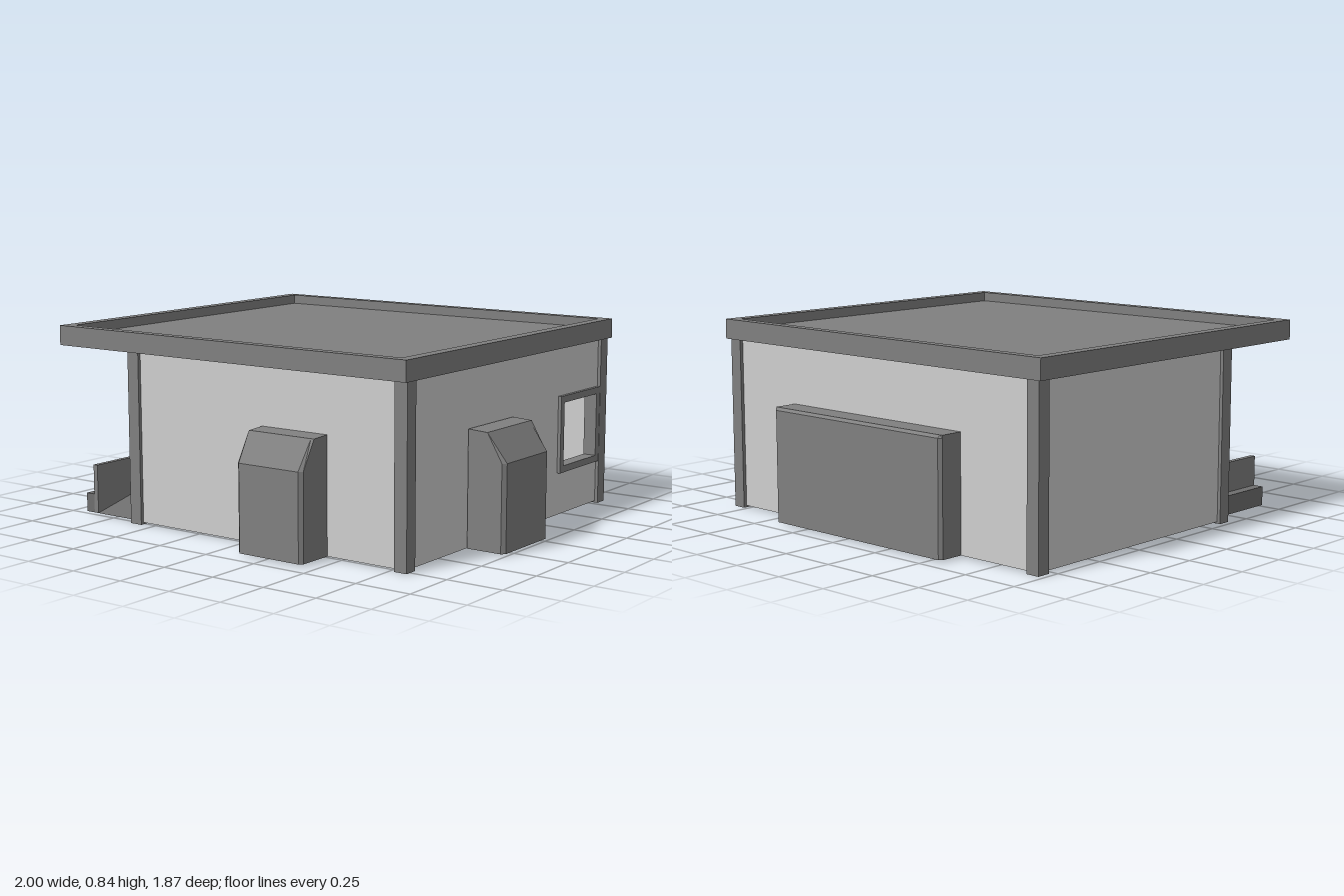
import * as THREE from 'three';

const trim = new THREE.MeshStandardMaterial({ color: 0x808080, side: THREE.DoubleSide });
trim.name = 'trim grey';
const plaster = new THREE.MeshStandardMaterial({ color: 0xcfcfcf });
plaster.name = 'light plaster';
const paving = new THREE.MeshStandardMaterial({ color: 0x6e6e6e, side: THREE.DoubleSide });
paving.name = 'ramp grey';

function add(group, name, geometry, material) {
  const mesh = new THREE.Mesh(geometry, material);
  mesh.name = name;
  group.add(mesh);
  return mesh;
}

// Box given by its two extreme corners
function block(group, name, [x0, y0, z0], [x1, y1, z1], material) {
  const mesh = add(group, name, new THREE.BoxGeometry(x1 - x0, y1 - y0, z1 - z0), material);
  mesh.position.set((x0 + x1) / 2, (y0 + y1) / 2, (z0 + z1) / 2);
  return mesh;
}

const rectPoints = (x0, y0, x1, y1) =>
  [[x0, y0], [x1, y0], [x1, y1], [x0, y1]].map(p => new THREE.Vector2(...p));

// Rectangular panel with an optional rectangular hole, extruded along +z
function panel(outer, hole, depth) {
  const shape = new THREE.Shape(rectPoints(...outer));
  if (hole) shape.holes.push(new THREE.Path(rectPoints(...hole)));
  return new THREE.ExtrudeGeometry(shape, { depth, bevelEnabled: false });
}

// Open-bottomed bay with chamfered outer corners: profile is [depth, height] from wall to ground
function bayGeometry(width, profile, chamfer) {
  const deepest = Math.max(...profile.map(p => p[0]));
  const h = width / 2;
  const sections = [-h, -h + chamfer, h - chamfer, h].map((w, i) =>
    profile.map(([d, y]) => [w, y, i % 3 === 0 ? Math.min(d, deepest - chamfer) : d]));
  const pos = [];
  const tri = (a, b, c) => pos.push(...a, ...b, ...c);
  for (let i = 0; i < 3; i++) {
    for (let j = 0; j < profile.length - 1; j++) {
      const a = sections[i][j], b = sections[i][j + 1];
      const c = sections[i + 1][j + 1], d = sections[i + 1][j];
      tri(a, b, c);
      tri(a, c, d);
    }
  }
  const base = profile[profile.length - 1][1];
  for (let j = 0; j < profile.length - 1; j++) {
    tri([h, base, 0], sections[3][j], sections[3][j + 1]);
    tri([-h, base, 0], sections[0][j + 1], sections[0][j]);
  }
  const g = new THREE.BufferGeometry();
  g.setAttribute('position', new THREE.Float32BufferAttribute(pos, 3));
  g.computeVertexNormals();
  return g;
}

export function createModel() {
  const model = new THREE.Group();
  model.name = 'house';
  const W = -0.945, E = 0.8, N = -0.805, S = 0.745; // wall axes
  const PX = -0.592, PZ = 0.37;                     // porch corner
  const T = 0.015, Y0 = 0.008, Y1 = 0.757;          // wall half thickness, base, top

  // Corner pillars
  const pillars = new THREE.Group();
  pillars.name = 'pillars';
  model.add(pillars);
  for (const [x, z] of [[E, S], [E, N], [W, N], [W, PZ], [PX, S], [PX, PZ]]) {
    block(pillars, 'pillar', [x - 0.03, 0, z - 0.03], [x + 0.03, Y1, z + 0.03], trim);
  }

  // Plain walls
  const walls = new THREE.Group();
  walls.name = 'walls';
  model.add(walls);
  block(walls, 'frontWall', [PX, Y0, S - T], [E, Y1, S + T], plaster);
  block(walls, 'backWall', [W, Y0, N - T], [E, Y1, N + T], plaster);
  block(walls, 'rightWall', [W - T, Y0, N], [W + T, Y1, PZ], plaster);
  block(walls, 'porchSideWall', [PX - T, Y0, PZ], [PX + T, Y1, S], plaster);
  block(walls, 'partition', [PX - T, 0.05, -0.39], [PX + T, Y1, PZ], plaster);

  // Porch wall with doorway and frame
  add(walls, 'doorWall', panel([W, Y0, PX, Y1], [-0.855, 0.09, -0.625, 0.51], 2 * T), plaster)
    .position.z = PZ - T;
  add(model, 'doorFrame', panel([-0.862, 0.085, -0.618, 0.515], [-0.846, 0.09, -0.632, 0.502], 0.05), trim)
    .position.z = PZ - 0.025;

  // Left wall with window; panel x runs along -z after the turn
  const leftWall = add(walls, 'leftWall', panel([-S, Y0, -N, Y1], [0.435, 0.21, 0.755, 0.525], 2 * T), plaster);
  leftWall.rotation.y = Math.PI / 2;
  leftWall.position.x = E - T;
  const frame = add(model, 'windowFrame', panel([0.42, 0.197, 0.772, 0.54], [0.45, 0.227, 0.742, 0.51], 0.06), trim);
  frame.rotation.y = Math.PI / 2;
  frame.position.x = E - 0.03;

  // Raised floor, L-shaped around the porch
  const floorShape = new THREE.Shape(
    [[W, -N], [W, -PZ], [PX, -PZ], [PX, -S], [E, -S], [E, -N]].map(p => new THREE.Vector2(...p)));
  const floor = add(model, 'floor', new THREE.ExtrudeGeometry(floorShape, { depth: 0.015, bevelEnabled: false }), trim);
  floor.rotation.x = -Math.PI / 2;
  floor.position.y = 0.075;

  // Roof slab with raised rim
  block(model, 'roofSlab', [-0.99, 0.756, -0.845], [0.83, 0.8, 0.79], trim);
  const rim = add(model, 'roofRim', panel([-1, -0.8, 0.84, 0.855], [-0.95, -0.755, 0.79, 0.812], 0.087), trim);
  rim.rotation.x = -Math.PI / 2;
  rim.position.y = 0.755;

  // Entrance ramp with kerb and low rail
  const ramp = add(model, 'ramp', new THREE.PlaneGeometry(0.24, Math.hypot(0.36, 0.082)), paving);
  ramp.rotation.x = -Math.PI / 2 + Math.atan2(0.082, 0.36);
  ramp.position.set(-0.735, 0.049, 0.565);
  block(model, 'kerb', [-0.915, Y0, 0.4], [-0.87, 0.092, S], paving);
  block(model, 'rail', [-0.87, Y0, 0.4], [-0.847, 0.225, S], trim);

  // Bays on the front, left and back
  const sloped = bayGeometry(0.33, [[0, 0.505], [0.09, 0.5], [0.175, 0.38], [0.175, Y0]], 0.015);
  const flat = bayGeometry(0.985, [[0, 0.505], [0.108, 0.505], [0.12, 0.493], [0.12, Y0]], 0.013);
  add(model, 'frontBay', sloped, trim).position.set(0.27, 0, 0.755);
  const leftBay = add(model, 'leftBay', sloped, trim);
  leftBay.position.set(0.82, 0, 0.147);
  leftBay.rotation.y = Math.PI / 2;
  leftBay.scale.x = 1.06;
  const backBay = add(model, 'backBay', flat, trim);
  backBay.position.set(-0.062, 0, -0.815);
  backBay.rotation.y = Math.PI;

  return model;
}
